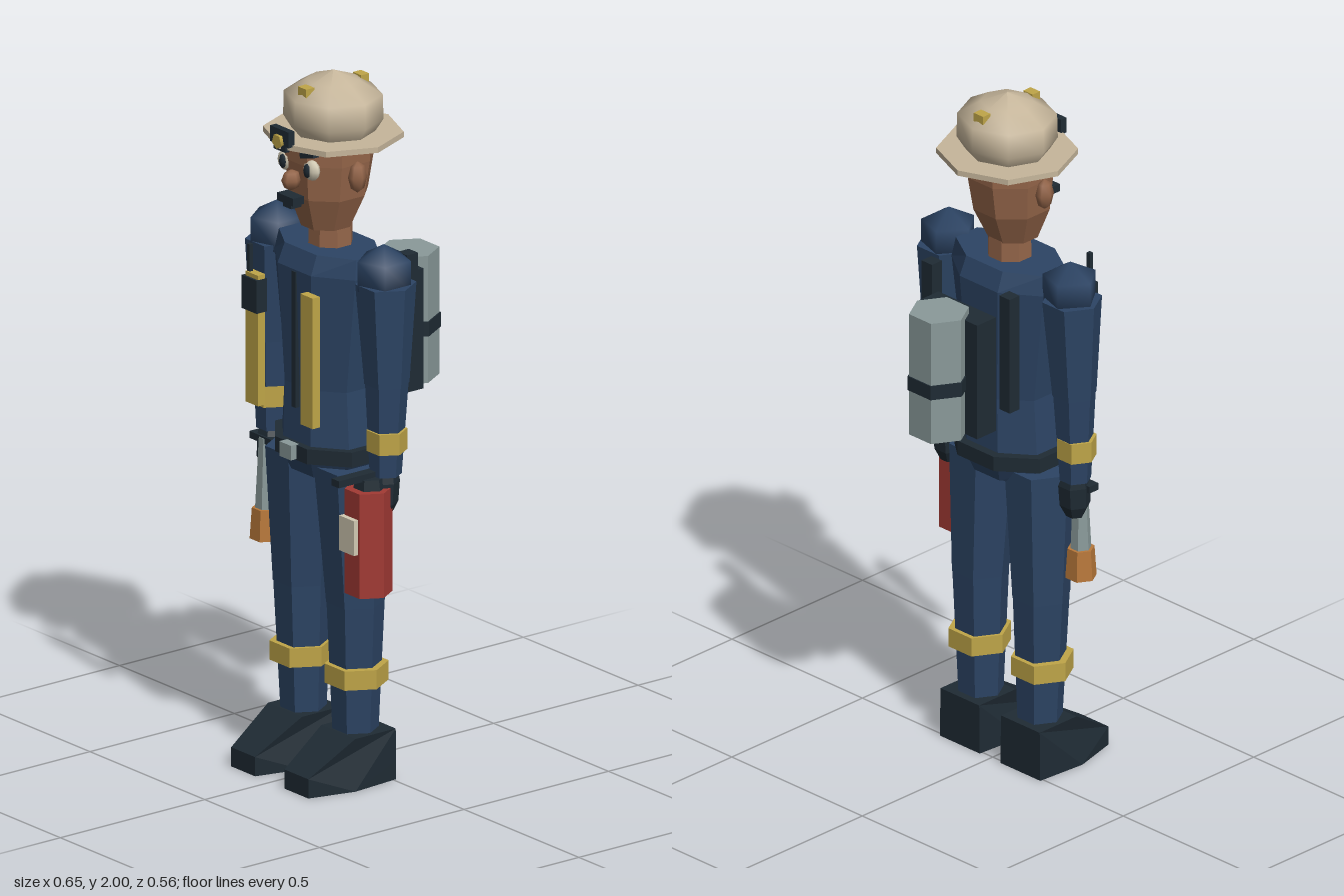
import * as THREE from 'three';

const mat = (name, color) => Object.assign(new THREE.MeshStandardMaterial({ color }), { name });

// Faceted solid from rings [y, centreX, centreZ, radiusX, radiusZ], listed bottom to top
function loft(rings, sides, phase) {
  const pos = [];
  const at = ([y, cx, cz, rx, rz], i) => {
    const a = phase + (i / sides) * Math.PI * 2;
    return [cx + Math.sin(a) * rx, y, cz + Math.cos(a) * rz];
  };
  const mid = ([y, cx, cz]) => [cx, y, cz];
  const lo = rings[0], hi = rings[rings.length - 1];
  for (let i = 0; i < sides; i++) {
    for (let k = 0; k < rings.length - 1; k++) {
      const a = at(rings[k], i), b = at(rings[k], i + 1);
      const c = at(rings[k + 1], i + 1), d = at(rings[k + 1], i);
      pos.push(...a, ...b, ...c, ...a, ...c, ...d);
    }
    pos.push(...mid(hi), ...at(hi, i), ...at(hi, i + 1));
    pos.push(...mid(lo), ...at(lo, i + 1), ...at(lo, i));
  }
  const g = new THREE.BufferGeometry();
  g.setAttribute('position', new THREE.Float32BufferAttribute(pos, 3));
  g.computeVertexNormals();
  return g;
}

// Six sides with corners on the x axis; eight sides with a flat front
const hex = (rings) => loft(rings.map(([y, x, z, r]) => [y, x, z, r, r]), 6, Math.PI / 6);
const oct = (rings) => loft(rings, 8, Math.PI / 8);

// Boot: side profile extruded across, then narrowed at toe, heel and top
function bootGeometry() {
  const s = new THREE.Shape();
  [[-0.01, 0], [0.14, 0], [0.275, 0], [0.275, 0.055], [0.13, 0.145], [-0.01, 0.145], [-0.01, 0.055]]
    .forEach(([z, y], i) => (i ? s.lineTo(z, y) : s.moveTo(z, y)));
  const g = new THREE.ExtrudeGeometry(s, { depth: 2, bevelEnabled: false });
  g.translate(0, 0, -1).rotateY(-Math.PI / 2);
  const p = g.attributes.position;
  for (let i = 0; i < p.count; i++) {
    const z = p.getZ(i), y = p.getY(i);
    const half = z > 0.2 ? 0.052 : y > 0.1 ? 0.074 : z > 0.1 ? 0.088 : 0.076;
    p.setX(i, p.getX(i) * half);
  }
  g.computeVertexNormals();
  return g;
}

export function createModel() {
  const root = new THREE.Group();
  root.name = 'firefighter';
  const navy = mat('navy cloth', 0x2c4464);
  const dark = mat('dark rubber', 0x1f2b34);
  const gold = mat('reflective gold', 0xbfa548);
  const tan = mat('helmet tan', 0xc6b69b);
  const skin = mat('skin', 0x946549);
  const grey = mat('steel grey', 0x8a9a9a);
  const red = mat('extinguisher red', 0xa23a34);
  const orange = mat('nozzle orange', 0xb8783a);
  const cream = mat('cream', 0xd2cab4);

  const add = (name, geo, material, x = 0, y = 0, z = 0) => {
    const m = new THREE.Mesh(geo, material);
    m.name = name;
    m.position.set(x, y, z);
    root.add(m);
    return m;
  };
  // Box given by its extents
  const box = (name, material, x0, x1, y0, y1, z0, z1) =>
    add(name, new THREE.BoxGeometry(x1 - x0, y1 - y0, z1 - z0), material,
      (x0 + x1) / 2, (y0 + y1) / 2, (z0 + z1) / 2);
  const ball = (name, material, x, y, z, rx, ry, rz, w = 6, h = 4) =>
    add(name, new THREE.SphereGeometry(1, w, h).scale(rx, ry, rz), material, x, y, z);

  // Jacket, zip, belt
  add('jacket', oct([
    [0.865, 0, 0.07, 0.125, 0.1], [0.91, 0, 0.07, 0.155, 0.118], [0.96, 0, 0.07, 0.157, 0.12],
    [1.12, 0, 0.07, 0.145, 0.118], [1.455, 0, 0.068, 0.19, 0.132], [1.51, 0, 0.068, 0.182, 0.108],
  ]), navy);
  box('zip', dark, -0.009, 0.009, 1.06, 1.45, 0.165, 0.193);
  add('belt', oct([[0.917, 0, 0.068, 0.182, 0.145], [0.96, 0, 0.068, 0.182, 0.145]]), dark);
  box('buckle', grey, -0.025, 0.025, 0.92, 0.962, 0.195, 0.222);

  // Chest strips and radio
  for (const s of [-1, 1])
    add('chestStrip', new THREE.BoxGeometry(0.054, 0.375, 0.025), gold, s * 0.119, 1.235, 0.23);
  box('radio', dark, -0.155, -0.09, 1.315, 1.41, 0.213, 0.249);
  box('radioAntenna', dark, -0.146, -0.134, 1.4, 1.5, 0.226, 0.238);

  // Limbs, mirrored
  for (const s of [-1, 1]) {
    ball('shoulder', navy, s * 0.233, 1.48, 0.065, 0.088, 0.085, 0.088, 5, 3);
    add('upperArm', hex([[1.17, s * 0.247, 0.066, 0.062], [1.455, s * 0.24, 0.064, 0.084]]), navy);
    add('forearm', hex([[0.91, s * 0.247, 0.07, 0.044], [1.175, s * 0.247, 0.066, 0.06]]), navy);
    add('cuffBand', hex([[0.98, s * 0.252, 0.07, 0.056], [1.04, s * 0.252, 0.07, 0.056]]), gold);
    add('glove', hex([[0.795, s * 0.24, 0.075, 0.025], [0.83, s * 0.24, 0.075, 0.043],
      [0.89, s * 0.24, 0.072, 0.045], [0.92, s * 0.244, 0.07, 0.035]]), dark);

    add('thigh', hex([[0.51, s * 0.116, 0.07, 0.081], [0.9, s * 0.106, 0.078, 0.102]]), navy);
    add('shin', hex([[0.13, s * 0.113, 0.068, 0.063], [0.515, s * 0.116, 0.07, 0.08]]), navy);
    add('legBand', hex([[0.28, s * 0.12, 0.07, 0.088], [0.335, s * 0.12, 0.07, 0.088]]), gold);
    add('boot', bootGeometry(), dark, s * 0.116);
  }

  // Neck and head
  add('neck', oct([[1.5, 0, 0.065, 0.065, 0.062], [1.6, 0, 0.065, 0.063, 0.06]]), skin);
  add('head', oct([
    [1.565, 0, 0.078, 0.072, 0.072], [1.66, 0, 0.072, 0.112, 0.112],
    [1.76, 0, 0.068, 0.124, 0.126], [1.825, 0, 0.068, 0.126, 0.126],
  ]), skin);
  ball('nose', skin, 0, 1.715, 0.2, 0.024, 0.03, 0.03);
  box('moustache', dark, -0.035, 0.035, 1.652, 1.674, 0.185, 0.222);
  box('lowerLip', dark, -0.018, 0.018, 1.638, 1.648, 0.18, 0.215);
  for (const s of [-1, 1]) {
    ball('ear', skin, s * 0.127, 1.73, 0.072, 0.023, 0.045, 0.028);
    ball('eye', cream, s * 0.056, 1.752, 0.174, 0.03, 0.03, 0.018, 8, 6);
    ball('pupil', dark, s * 0.053, 1.752, 0.188, 0.014, 0.021, 0.009, 6, 4);
    add('eyebrow', new THREE.BoxGeometry(0.06, 0.014, 0.02), dark, s * 0.056, 1.797, 0.183)
      .rotation.z = s * 0.25;
  }

  // Helmet
  const dome = [[0.115, 1.825], [0.141, 1.865], [0.139, 1.935], [0.075, 1.973], [0, 2]]
    .map(([r, y]) => new THREE.Vector2(r, y));
  add('helmetDome', new THREE.LatheGeometry(dome, 8).scale(1, 1, 0.95), tan, 0, 0, 0.055);
  add('helmetBrim', loft([[1.814, 0, 0.055, 0.195, 0.19], [1.83, 0, 0.055, 0.195, 0.19]], 8, 0), tan);
  for (const z of [-0.041, 0.149]) box('helmetStud', gold, -0.018, 0.018, 1.945, 1.97, z - 0.014, z + 0.014);
  box('badgePlate', dark, -0.04, 0.04, 1.825, 1.87, 0.222, 0.242);
  box('badgeStem', dark, -0.026, 0.026, 1.808, 1.83, 0.23, 0.242);
  const shield = new THREE.CylinderGeometry(0.021, 0.021, 0.01, 5).rotateX(Math.PI / 2);
  add('badgeShield', shield, gold, 0, 1.836, 0.247);

  // Air tank pack
  box('packFrame', dark, -0.11, 0.11, 1.065, 1.41, -0.17, -0.098);
  for (const s of [-1, 1])
    add('packStrap', new THREE.BoxGeometry(0.04, 0.345, 0.038), dark, s * 0.149, 1.313, -0.085);
  add('airTank', hex([[1.065, 0, -0.206, 0.084], [1.43, 0, -0.206, 0.084]]), grey);
  add('tankBand', hex([[1.2, 0, -0.206, 0.088], [1.242, 0, -0.206, 0.088]]), dark);

  // Extinguisher in the left hand
  add('extinguisher', hex([[0.58, 0.238, 0.122, 0.066], [0.88, 0.238, 0.122, 0.066]]), red);
  box('extinguisherLabel', cream, 0.2, 0.264, 0.705, 0.805, 0.178, 0.194);
  add('extinguisherCap', hex([[0.88, 0.238, 0.118, 0.045], [0.91, 0.238, 0.118, 0.04]]), dark);
  box('extinguisherLever', dark, 0.219, 0.251, 0.905, 0.925, 0.08, 0.235);

  // Hose nozzle in the right hand
  add('nozzlePipe', hex([[0.67, -0.238, 0.1, 0.03], [0.89, -0.236, 0.1, 0.02]]), grey);
  add('nozzleTip', hex([[0.6, -0.238, 0.1, 0.044], [0.688, -0.238, 0.1, 0.038]]), orange);
  box('nozzleGrip', dark, -0.29, -0.195, 0.875, 0.895, 0.08, 0.115);

  return root;
}
